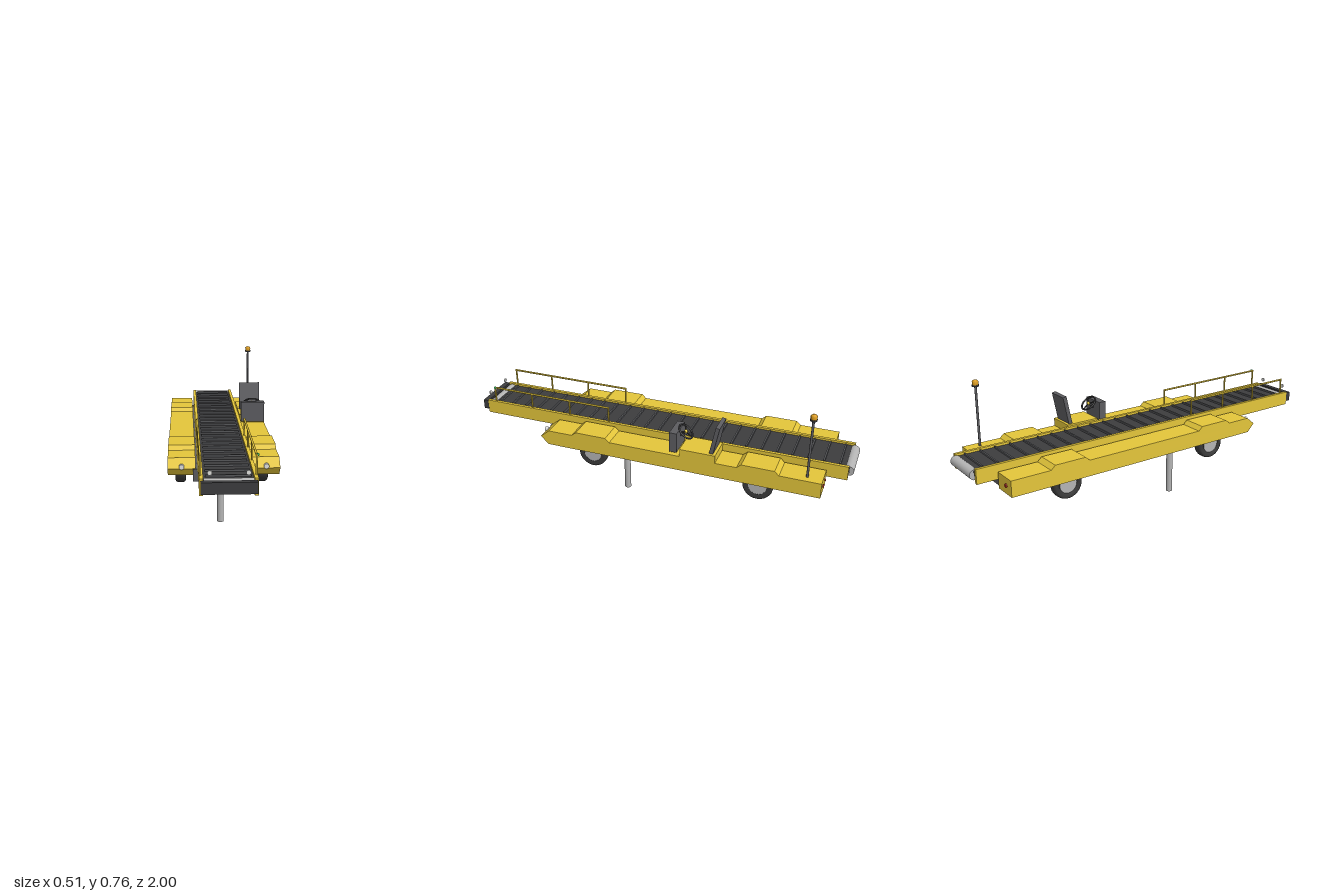
import * as THREE from 'three';

const mat = (color) => new THREE.MeshStandardMaterial({ color });

export function createModel() {
  const root = new THREE.Group();
  root.name = 'conveyorVehicle';
  const yellow = mat(0xe3c53a), dark = mat(0x3c3c3e), grey = mat(0x5c5c60), steel = mat(0xb4b4b4);
  const white = mat(0xe4e4e0), red = mat(0xb02a20), amber = mat(0xe0a020), green = mat(0x2fae55);
  const tyreMat = mat(0x3a3a3a), ribMat = mat(0x58595c);

  const add = (name, geo, m, x = 0, y = 0, z = 0, parent = root) => {
    const mesh = new THREE.Mesh(geo, m);
    mesh.name = name;
    mesh.position.set(x, y, z);
    parent.add(mesh);
    return mesh;
  };
  // Box given by its limits on each axis
  const box = (name, m, x0, x1, y0, y1, z0, z1) => add(name,
    new THREE.BoxGeometry(x1 - x0, y1 - y0, z1 - z0), m, (x0 + x1) / 2, (y0 + y1) / 2, (z0 + z1) / 2);
  // Round bar between two points
  const bar = (name, m, a, b, r, seg = 10) => {
    const p = new THREE.Vector3(...a), q = new THREE.Vector3(...b), d = q.clone().sub(p);
    const mesh = add(name, new THREE.CylinderGeometry(r, r, d.length(), seg), m);
    mesh.position.copy(p).add(q).multiplyScalar(0.5);
    mesh.quaternion.setFromUnitVectors(new THREE.Vector3(0, 1, 0), d.normalize());
  };
  const lamp = (name, m, x, y, z, r, t = 0.008) => bar(name, m, [x, y, z - t / 2], [x, y, z + t / 2], r, 20);

  // Chassis and support leg
  box('chassis', grey, -0.14, 0.14, 0.331, 0.388, -0.845, 0.585);
  bar('supportLeg', steel, [0, 0, 0.205], [0, 0.335, 0.205], 0.017, 24);

  // Side bodies: outline as [z, y], raised over each axle
  const outline = [[0.54, 0.348], [0.58, 0.389], [0.532, 0.428], [0.402, 0.428], [0.378, 0.448],
    [0.215, 0.448], [0.193, 0.428], [-0.468, 0.428], [-0.49, 0.448], [-0.652, 0.448],
    [-0.674, 0.428], [-0.875, 0.428], [-0.875, 0.348]];
  const bodyGeo = new THREE.ExtrudeGeometry(
    new THREE.Shape(outline.map(([z, y]) => new THREE.Vector2(-z, y))), { depth: 0.126, bevelEnabled: false });
  bodyGeo.rotateY(Math.PI / 2);

  // Wheel profile, turned about the axle
  const tyreGeo = new THREE.LatheGeometry([[0.046, -0.022], [0.066, -0.025], [0.073, -0.021], [0.076, -0.013],
    [0.076, 0.013], [0.073, 0.021], [0.066, 0.025], [0.046, 0.022], [0.046, -0.022]]
    .map(([x, y]) => new THREE.Vector2(x, y)), 32);
  const hubGeo = new THREE.CylinderGeometry(0.047, 0.047, 0.042, 28);

  for (const s of [1, -1]) {
    const side = s > 0 ? 'left' : 'right';
    add(side + 'Body', bodyGeo, yellow, s > 0 ? 0.129 : -0.255);
    lamp(side + 'Headlight', white, s * 0.192, 0.397, 0.575, 0.012, 0.018);
    lamp(side + 'TailLight', red, s * 0.207, 0.39, -0.877, 0.009);
    for (const z of [0.305, -0.567]) {
      const wheel = new THREE.Group();
      wheel.name = side + (z > 0 ? 'FrontWheel' : 'RearWheel');
      wheel.position.set(s * 0.198, 0.321, z);
      wheel.rotation.z = Math.PI / 2;
      add('tyre', tyreGeo, tyreMat, 0, 0, 0, wheel);
      add('hub', hubGeo, steel, 0, 0, 0, wheel);
      root.add(wheel);
    }

    // Conveyor side beam and handrail
    box(side + 'ConveyorBeam', yellow, s > 0 ? 0.104 : -0.12, s > 0 ? 0.12 : -0.104, 0.388, 0.461, -0.975, 0.968);
    const x = s * 0.115;
    for (const z of [0.918, 0.697, 0.476, 0.255])
      bar(side + 'RailPost', yellow, [x, 0.455, z], [x, 0.545, z], 0.0045);
    bar(side + 'Handrail', yellow, [x, 0.543, 0.922], [x, 0.543, 0.251], 0.005);
    lamp(side + 'WorkLight', white, s * 0.078, 0.487, 0.974, 0.01, 0.006);
  }
  lamp('reverseLight', red, 0.163, 0.395, -0.877, 0.006);
  add('railButton', new THREE.SphereGeometry(0.007, 12, 8), green, 0.119, 0.544, 0.915);

  // Conveyor belt, cross ribs, end rollers and nose bumper
  box('belt', dark, -0.105, 0.105, 0.425, 0.45, -0.978, 0.966);
  for (let i = 0; i < 25; i++) {
    const z = -0.93 + i * 0.0765;
    box('beltRib', ribMat, -0.095, 0.095, 0.449, 0.459, z - 0.004, z + 0.004);
  }
  for (const z of [0.945, -0.975])
    bar('endRoller', steel, [-0.103, 0.43, z], [0.103, 0.43, z], 0.025, 24);
  box('noseBumper', dark, -0.115, 0.115, 0.404, 0.454, 0.972, 1.0);

  // Driver's place
  box('seatBase', yellow, 0.121, 0.256, 0.428, 0.469, -0.36, -0.18);
  box('dashboard', grey, 0.126, 0.251, 0.443, 0.549, -0.163, -0.125);
  const back = add('seatBack', new THREE.BoxGeometry(0.111, 0.15, 0.02), grey, 0.187, 0.541, -0.35);
  back.rotation.x = -0.2;

  // Steering wheel, facing up and back toward the driver
  const steering = new THREE.Group();
  steering.name = 'steeringWheel';
  steering.position.set(0.188, 0.535, -0.19);
  steering.quaternion.setFromUnitVectors(new THREE.Vector3(0, 0, 1), new THREE.Vector3(0, 0.76, -0.65).normalize());
  add('rim', new THREE.TorusGeometry(0.042, 0.0045, 8, 28), dark, 0, 0, 0, steering);
  for (let i = 0; i < 3; i++) {
    const a = Math.PI / 2 + i * Math.PI * 2 / 3;
    const spoke = add('spoke', new THREE.BoxGeometry(0.042, 0.006, 0.004), dark,
      0.021 * Math.cos(a), 0.021 * Math.sin(a), 0, steering);
    spoke.rotation.z = a;
  }
  add('hub', new THREE.SphereGeometry(0.009, 12, 8), yellow, 0, 0, 0, steering);
  root.add(steering);
  bar('steeringColumn', dark, [0.188, 0.535, -0.19], [0.188, 0.505, -0.155], 0.006);

  // Beacon on its mast
  bar('beaconMast', grey, [0.215, 0.425, -0.8], [0.215, 0.732, -0.8], 0.006, 12);
  bar('beaconBase', dark, [0.215, 0.73, -0.8], [0.215, 0.738, -0.8], 0.017, 16);
  const dome = new THREE.LatheGeometry([[0.015, 0], [0.016, 0.015], [0.011, 0.021], [0, 0.026]]
    .map(([x, y]) => new THREE.Vector2(x, y)), 10);
  add('beaconDome', dome, amber, 0.215, 0.738, -0.8);

  return root;
}
